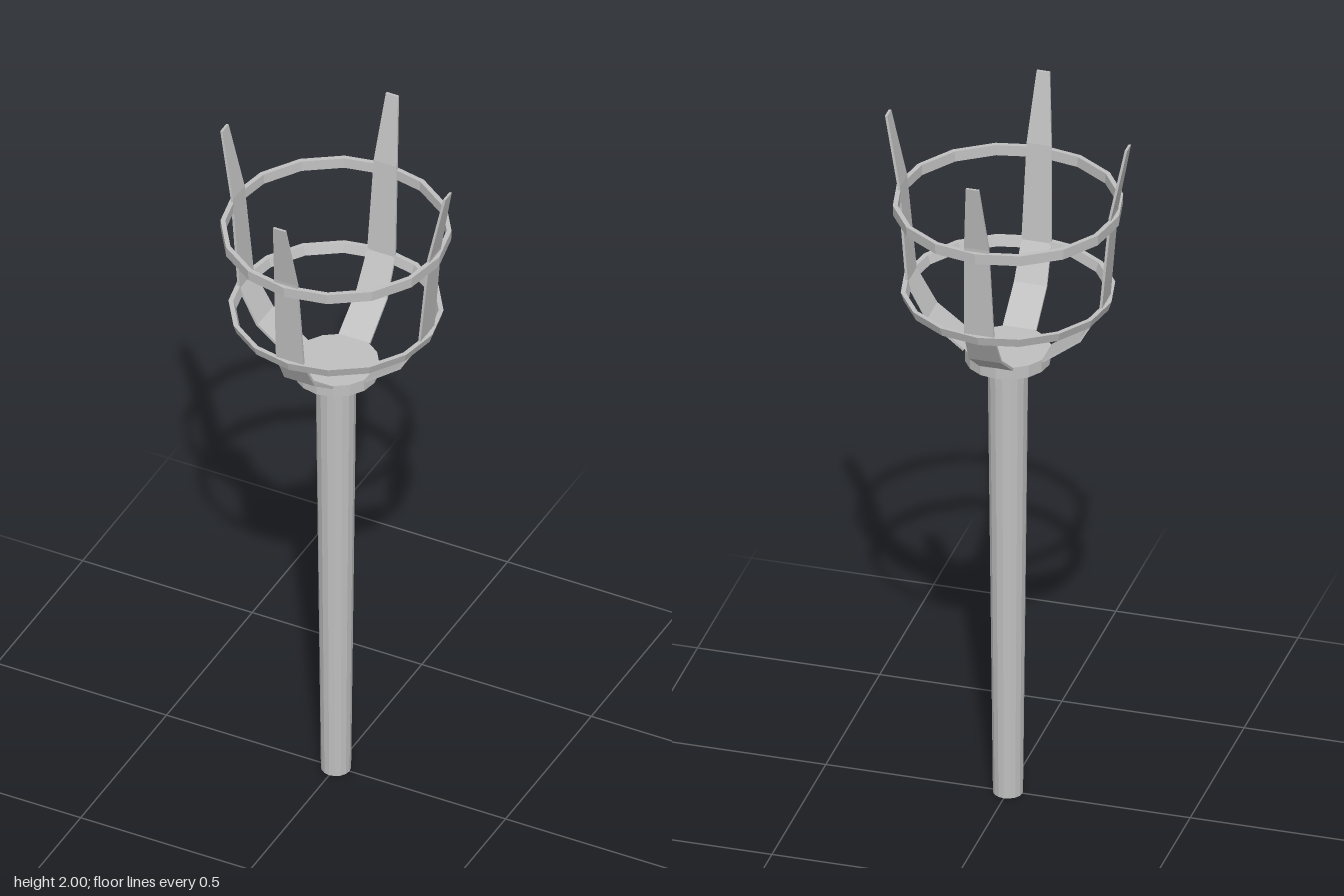
import * as THREE from 'three';

const SIDES = 16;

// Closed band: [innerRadius, outerRadius] at its bottom and top edges
function band(name, material, y0, y1, [inner0, outer0], [inner1, outer1]) {
  const profile = [
    [outer0, y0], [outer1, y1], [inner1, y1], [inner0, y0], [outer0, y0],
  ].map(([r, y]) => new THREE.Vector2(r, y));
  const mesh = new THREE.Mesh(new THREE.LatheGeometry(profile, SIDES), material);
  mesh.name = name;
  return mesh;
}

// Thin tapered strip, bent along stations of [radius, height, half width]
function prongGeometry() {
  const stations = [
    [0.108, 1.342, 0.046],
    [0.21, 1.42, 0.045],
    [0.266, 1.52, 0.041],
    [0.29, 1.8, 0.034],
    [0.329, 2.0, 0.018],
  ];
  const thickness = 0.007;
  const last = stations.length - 1;
  const geometry = new THREE.BoxGeometry(1, 1, 1, 1, last, 1);
  const pos = geometry.attributes.position;
  for (let i = 0; i < pos.count; i++) {
    const k = Math.round((pos.getY(i) + 0.5) * last);
    const [r, y, halfWidth] = stations[k];
    const a = stations[Math.max(k - 1, 0)];
    const b = stations[Math.min(k + 1, last)];
    const dr = b[0] - a[0], dy = b[1] - a[1], length = Math.hypot(dr, dy);
    const offset = pos.getX(i) * thickness;
    // the end stays level at the tip
    const lift = k === last ? 0 : -offset * dr / length;
    pos.setXYZ(i, r + offset * dy / length, y + lift, pos.getZ(i) * 2 * halfWidth);
  }
  geometry.computeVertexNormals();
  return geometry;
}

export function createModel() {
  const model = new THREE.Group();
  model.name = 'torch';
  const metal = new THREE.MeshStandardMaterial({ color: 0xc0c0c0, flatShading: true });
  metal.name = 'grey metal';

  // Tapered handle
  const handle = new THREE.Mesh(new THREE.CylinderGeometry(0.054, 0.04, 1.312, SIDES), metal);
  handle.name = 'handle';
  handle.position.y = 0.656;
  model.add(handle);

  // Collar plate at the top of the handle
  const collar = new THREE.Mesh(new THREE.CylinderGeometry(0.114, 0.114, 0.036, SIDES), metal);
  collar.name = 'collar';
  collar.position.y = 1.327;
  model.add(collar);

  // Basket hoops
  model.add(band('lowerHoop', metal, 1.5, 1.526, [0.263, 0.276], [0.271, 0.284]));
  model.add(band('upperHoop', metal, 1.76, 1.79, [0.291, 0.304], [0.292, 0.305]));

  // Four basket prongs
  const prong = prongGeometry();
  const prongs = new THREE.Group();
  prongs.name = 'prongs';
  for (let i = 0; i < 4; i++) {
    const mesh = new THREE.Mesh(prong, metal);
    mesh.name = `prong${i + 1}`;
    mesh.rotation.y = i * Math.PI / 2;
    prongs.add(mesh);
  }
  model.add(prongs);

  return model;
}
